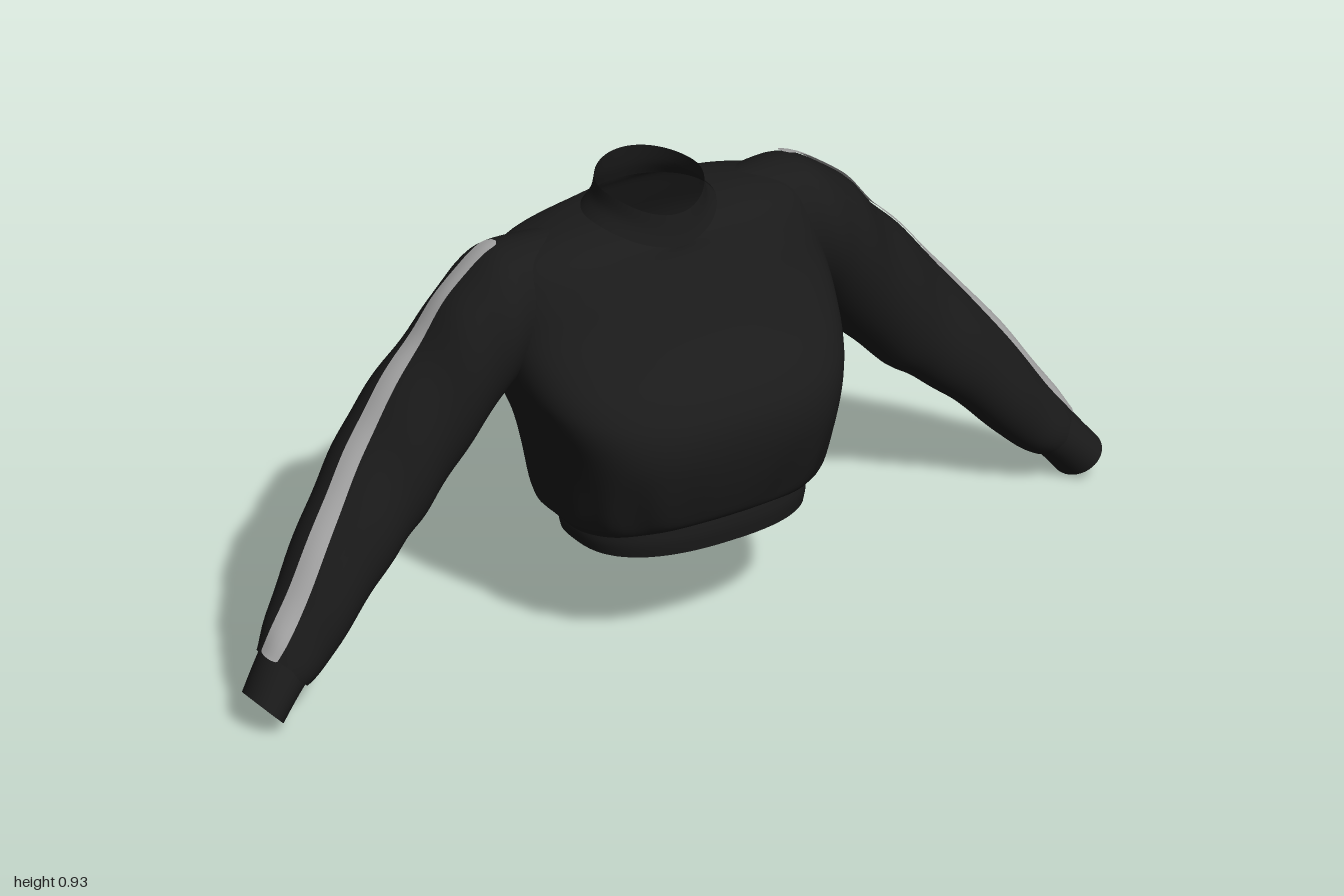
import * as THREE from 'three';

const fabric = new THREE.MeshStandardMaterial({ color: 0x1a1a1a, side: THREE.DoubleSide });
fabric.name = 'black fabric';
const grey = new THREE.MeshStandardMaterial({ color: 0xaaaaaa, side: THREE.DoubleSide });
grey.name = 'grey stripe';

// Skin a list of rings (arrays of Vector3) into a smooth surface
function loft(rings, closed, flip) {
  const n = rings[0].length, index = [];
  for (let i = 0; i < rings.length - 1; i++) {
    for (let j = 0; j < (closed ? n : n - 1); j++) {
      const k = (j + 1) % n;
      const a = i * n + j, b = i * n + k, c = a + n, d = b + n;
      if (flip) index.push(a, b, c, b, d, c);
      else index.push(a, c, b, b, c, d);
    }
  }
  const g = new THREE.BufferGeometry().setFromPoints(rings.flat());
  g.setIndex(index);
  g.computeVertexNormals();
  return g;
}

// Catmull-Rom blend of rows of section values at row position t
function blend(rows, t) {
  const last = rows.length - 1;
  const i = Math.min(Math.floor(t), last - 1), f = t - i;
  const at = (k) => rows[Math.max(0, Math.min(last, k))];
  return rows[0].map((_, c) => {
    const p = at(i - 1)[c], q = at(i)[c], r = at(i + 1)[c], s = at(i + 2)[c];
    return q + 0.5 * f * (r - p + f * (2 * p - 5 * q + 4 * r - s + f * (3 * (q - r) + s - p)));
  });
}

// Torso sections: y front, y side, y back, half width, z front, z back,
// squareness of the front half, squareness of the back half
const torsoRows = [
  [0.295, 0.265, 0.250, 0.250, 0.222, -0.145, 2.4, 2.4],
  [0.305, 0.270, 0.225, 0.270, 0.235, -0.185, 2.6, 2.5],
  [0.330, 0.310, 0.270, 0.286, 0.246, -0.205, 2.8, 2.6],
  [0.400, 0.390, 0.380, 0.298, 0.266, -0.235, 3.0, 2.7],
  [0.470, 0.460, 0.460, 0.312, 0.276, -0.258, 3.1, 2.8],
  [0.530, 0.530, 0.530, 0.338, 0.268, -0.270, 2.8, 3.0],
  [0.580, 0.580, 0.600, 0.358, 0.235, -0.276, 2.6, 3.3],
  [0.630, 0.640, 0.660, 0.368, 0.178, -0.272, 2.6, 3.6],
  [0.700, 0.700, 0.720, 0.368, 0.115, -0.262, 2.7, 3.7],
  [0.760, 0.770, 0.780, 0.358, 0.076, -0.240, 2.6, 3.3],
  [0.800, 0.828, 0.830, 0.325, 0.052, -0.222, 2.4, 2.7],
  [0.815, 0.857, 0.850, 0.235, 0.045, -0.212, 2.2, 2.2],
  [0.825, 0.866, 0.860, 0.140, 0.043, -0.208, 2.0, 2.0],
];
const collarRows = [
  [0.822, 0.862, 0.857, 0.141, 0.044, -0.209, 2, 2],
  [0.855, 0.890, 0.890, 0.117, 0.036, -0.198, 2, 2],
  [0.890, 0.924, 0.937, 0.110, 0.030, -0.190, 2, 2],
];
const hemRows = [
  [0.236, 0.226, 0.190, 0.250, 0.222, -0.142, 2.4, 2.4],
  [0.270, 0.250, 0.222, 0.254, 0.226, -0.148, 2.4, 2.4],
  [0.302, 0.272, 0.255, 0.250, 0.222, -0.145, 2.4, 2.4],
];

// Rings around the vertical axis, with soft gathers above the hem
function bodyPart(rows, steps, gather = 0) {
  const rings = [], n = 72, last = rows.length - 1;
  for (let i = 0; i <= last * steps; i++) {
    const t = i / steps;
    const [yF, yS, yB, hw, zF, zB, eF, eB] = blend(rows, t);
    const pleat = gather * Math.exp(-((t - 2) ** 2) / 1.2);
    const ring = [];
    for (let j = 0; j < n; j++) {
      const a = (j / n) * Math.PI * 2, c = Math.cos(a), s = Math.sin(a);
      const e = s > 0 ? eF : eB;
      const k = 1 + pleat * (Math.sin(a * 13) + 0.6 * Math.sin(a * 7 + 1));
      const px = Math.sign(c) * Math.abs(c) ** (2 / e);
      const pz = Math.sign(s) * Math.abs(s) ** (2 / e);
      const y = yS + ((s > 0 ? yF : yB) - yS) * pz * pz;
      ring.push(new THREE.Vector3(px * hw * k, y, (zF + zB) / 2 + pz * k * (zF - zB) / 2));
    }
    rings.push(ring);
  }
  return loft(rings, true, false);
}

// Sleeve sections: top x, top y, bottom x, bottom y, z back, z front, skew, stripe z
const sleeveRows = [
  [0.20, 0.856, 0.24, 0.58, -0.200, 0.000, 0.00, -0.125],
  [0.30, 0.859, 0.31, 0.56, -0.232, 0.012, 0.04, -0.125],
  [0.385, 0.842, 0.37, 0.545, -0.236, 0.028, 0.08, -0.123],
  [0.468, 0.777, 0.41, 0.49, -0.222, 0.024, 0.08, -0.118],
  [0.542, 0.690, 0.48, 0.41, -0.222, 0.014, 0.00, -0.112],
  [0.63, 0.593, 0.55, 0.34, -0.215, 0.012, -0.12, -0.098],
  [0.70, 0.500, 0.61, 0.295, -0.200, 0.018, -0.18, -0.083],
  [0.78, 0.403, 0.68, 0.240, -0.168, 0.030, -0.18, -0.052],
  [0.86, 0.288, 0.76, 0.160, -0.138, 0.040, -0.15, -0.025],
  [0.92, 0.195, 0.82, 0.098, -0.108, 0.044, -0.10, -0.012],
  [0.95, 0.145, 0.865, 0.066, -0.090, 0.044, 0.00, -0.010],
];
const cuffRows = [
  [0.945, 0.150, 0.865, 0.078, -0.082, 0.042, 0.00],
  [0.972, 0.113, 0.897, 0.044, -0.077, 0.051, 0.10],
  [0.999, 0.076, 0.930, 0.004, -0.070, 0.060, 0.20],
];

// Point on a sleeve section; angle 0 is the outer edge, +90 degrees the front
function sleevePoint(row, t, angle, side, lift, fold) {
  const [tx, ty, bx, by, zB, zF, skew] = row;
  const hx = (tx - bx) / 2, hy = (ty - by) / 2, hz = (zF - zB) / 2;
  const wave = fold * Math.sin(t * 4.2 + 1.4 * Math.cos(angle + 0.6));
  const k = 1 + wave + lift / Math.hypot(hx, hy);
  const s = Math.sin(angle) * k, c = Math.cos(angle) * k + skew * s;
  return new THREE.Vector3(side * ((tx + bx) / 2 + hx * c), (ty + by) / 2 + hy * c, (zF + zB) / 2 + hz * s);
}

function sleevePart(rows, steps, side, fold) {
  const rings = [], n = 40, last = rows.length - 1;
  for (let i = 0; i <= last * steps; i++) {
    const t = i / steps, row = blend(rows, t);
    rings.push(Array.from({ length: n }, (_, j) => sleevePoint(row, t, (j / n) * Math.PI * 2, side, 0, fold)));
  }
  return loft(rings, true, side > 0);
}

const sleeveFold = 0.014;

// Thin band with rounded ends riding on the sleeve's outer edge
function stripe(side) {
  const rings = [], start = 1.45, end = 10, count = 90;
  for (let i = 0; i <= count; i++) {
    const t = start + (end - start) * (i / count), row = blend(sleeveRows, t);
    const near = Math.min(1, Math.min(t - start, end - t) / 0.25);
    const half = 0.008 + 0.0145 * Math.sqrt(1 - (1 - near) ** 2);
    const mid = (row[4] + row[5]) / 2, hz = (row[5] - row[4]) / 2;
    rings.push([-1, -0.5, 0, 0.5, 1].map((w) =>
      sleevePoint(row, t, Math.asin((row[7] + w * half - mid) / hz), side, 0.005, sleeveFold)));
  }
  return loft(rings, false, side > 0);
}

export function createModel() {
  const model = new THREE.Group();
  const add = (name, geometry, material = fabric) => {
    const mesh = new THREE.Mesh(geometry, material);
    mesh.name = name;
    model.add(mesh);
  };
  add('torso', bodyPart(torsoRows, 5, 0.014));
  add('collar', bodyPart(collarRows, 4));
  add('hemBand', bodyPart(hemRows, 4));
  for (const [name, side] of [['left', 1], ['right', -1]]) {
    add(name + 'Sleeve', sleevePart(sleeveRows, 6, side, sleeveFold));
    add(name + 'Cuff', sleevePart(cuffRows, 4, side, 0));
    add(name + 'Stripe', stripe(side), grey);
  }
  return model;
}
